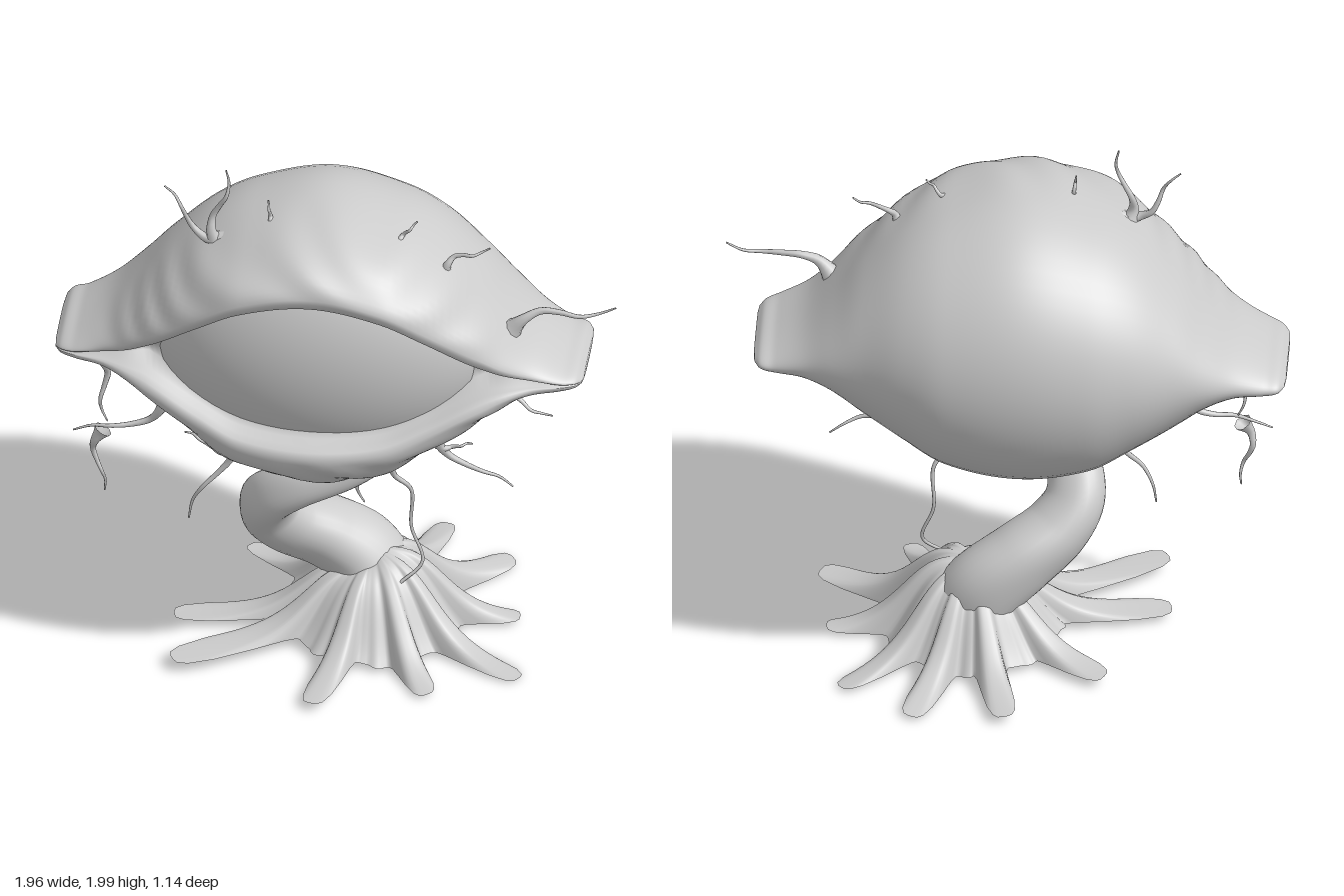
import * as THREE from 'three';

const material = new THREE.MeshStandardMaterial({ color: 0xcccccc, roughness: 0.8, side: THREE.DoubleSide });
const { clamp, lerp } = THREE.MathUtils;

// Skin a list of closed rings (arrays of Vector3) with smooth normals
function loft(name, rings) {
  const n = rings[0].length, index = [];
  for (let i = 0; i < rings.length - 1; i++) {
    for (let j = 0; j < n; j++) {
      const k = (j + 1) % n, a = i * n + j, b = a + n, c = i * n + k, d = c + n;
      index.push(a, b, c, b, d, c);
    }
  }
  const geo = new THREE.BufferGeometry().setFromPoints(rings.flat());
  geo.setIndex(index);
  geo.computeVertexNormals();
  const mesh = new THREE.Mesh(geo, material);
  mesh.name = name;
  return mesh;
}

// Tube along a smooth path; radiusAt gives the radius from start (0) to end (1)
function taperedTube(name, points, radiusAt, steps, sides, lump = 0) {
  const curve = new THREE.CatmullRomCurve3(points);
  const { normals, binormals } = curve.computeFrenetFrames(steps);
  const rings = [];
  for (let i = 0; i <= steps; i++) {
    const u = i / steps, r = radiusAt(u), ring = [];
    for (let j = 0; j < sides; j++) {
      const a = j / sides * Math.PI * 2, q = r * (1 + lump * Math.sin(3 * a + u * 9));
      ring.push(curve.getPointAt(u)
        .addScaledVector(normals[i], q * Math.cos(a))
        .addScaledVector(binormals[i], -q * Math.sin(a)));
    }
    rings.push(ring);
  }
  return loft(name, rings);
}

// Half of the eyelid profile, from the middle to the corner:
// distance, top y, bottom y, back z, upper rim y, lower rim y, lower rim z
const MIDDLE = -0.055;
const PROFILE = [
  [0, 1.85, 0.77, -0.5, 1.65, 1.05, 0.478],
  [0.25, 1.79, 0.82, -0.475, 1.6, 1.068, 0.45],
  [0.4, 1.71, 0.915, -0.42, 1.5, 1.12, 0.4],
  [0.55, 1.57, 1.02, -0.34, 1.385, 1.185, 0.345],
  [0.65, 1.45, 1.105, -0.29, 1.32, 1.217, 0.3],
  [0.75, 1.345, 1.155, -0.235, 1.273, 1.23, 0.25],
  [0.85, 1.28, 1.165, -0.195, 1.242, 1.23, 0.22],
  [0.9, 1.262, 1.18, -0.18, 1.232, 1.225, 0.195],
  [0.921, 1.242, 1.2, -0.145, 1.225, 1.221, 0.165],
];

// Smooth (cubic Hermite) lookup in the profile, mirrored at the middle
function profileAt(dist) {
  const last = PROFILE.length - 1;
  const at = k => k < 0 ? PROFILE[-k].map((v, c) => c ? v : -v) : PROFILE[Math.min(k, last)];
  let i = 0;
  while (i < last - 1 && dist > PROFILE[i + 1][0]) i++;
  const [p, a, b, q] = [at(i - 1), at(i), at(i + 1), at(i + 2)], h = b[0] - a[0];
  const t = (dist - a[0]) / h, t2 = t * t, t3 = t2 * t;
  return a.map((v, c) => {
    const m0 = (b[c] - p[c]) / (b[0] - p[0]) * h, m1 = (q[c] - v) / (q[0] - a[0]) * h;
    return (2 * t3 - 3 * t2 + 1) * v + (t3 - 2 * t2 + t) * m0 + (3 * t2 - 2 * t3) * b[c] + (t3 - t2) * m1;
  });
}

// One closed section: upper lid, back, lower lid, then the socket behind the eyeball
function lidRing(off) {
  const [dist, top, bottom, back, uy, ly, lz] = profileAt(Math.abs(off));
  const x = MIDDLE + off, tilt = 0.016 * off;
  const uz = lz - 0.04 * Math.exp(-Math.pow(dist / 0.25, 2));
  const k = clamp((uy - ly) / 0.15, 0, 1), mid = (top + bottom) / 2;
  const uc = uy + 0.03 * k, lc = ly - 0.015 * k, ring = [];
  const add = (z, y) => ring.push(new THREE.Vector3(x, y + tilt, z));
  const wrinkle = (a, y) => 0.005 * k * Math.sin(2 * a) * Math.sin(x * 13 + y * 45 + 2 * Math.sin(x * 9));
  for (let i = 0; i < 16; i++) {
    const a = i / 16 * Math.PI / 2, y = uc + (top - uc) * Math.sin(a), w = wrinkle(a, y);
    add(uz * Math.cos(a) + w, y + w);
  }
  for (let i = 0; i < 28; i++) {
    const a = i / 28 * Math.PI;
    add(back * Math.sin(a), mid + (top - mid) * Math.cos(a));
  }
  for (let i = 0; i <= 16; i++) {
    const a = i / 16 * Math.PI / 2, y = lc - (lc - bottom) * Math.cos(a), w = wrinkle(a, y);
    add(lz * Math.sin(a) + w, y - w);
  }
  add(lz - 0.012 * k, ly + 0.008 * k);
  add(lz - 0.04 * k, ly + 0.018 * k);
  add(lz - 0.07 * k, ly + 0.03 * k);
  add(lz - 0.13 * k, ly + 0.06 * k);
  add(lz - 0.13 * k, (uy + ly) / 2 + 0.01 * k);
  add(uz - 0.1 * k, uy - 0.022 * k);
  add(uz - 0.05 * k, uy - 0.012 * k);
  add(uz - 0.012 * k, uy + 0.003 * k);
  return ring;
}

function eyelids() {
  const rings = [], half = PROFILE[PROFILE.length - 1][0], steps = 52;
  // Sections crowd towards the two corners
  for (let i = -steps; i <= steps; i++) rings.push(lidRing(half * Math.sin(i / steps * Math.PI / 2)));
  // Rounded end: shrink the last section while moving it slightly outwards
  const cap = (ring, scale, out) => {
    const c = ring.reduce((sum, p) => sum.add(p), new THREE.Vector3()).divideScalar(ring.length);
    return ring.map(p => p.clone().lerp(c, 1 - scale).add(new THREE.Vector3(out, 0, 0)));
  };
  const first = rings[0], last = rings[rings.length - 1];
  return loft('eyelids', [cap(first, 0, -0.004), cap(first, 0.75, -0.004), ...rings,
    cap(last, 0.75, 0.004), cap(last, 0, 0.004)]);
}

// Root mound: a skirt whose outline reaches out to each blunt root tip
function roots() {
  const cx = 0.11, cz = -0.01, sides = 216, rows = 20, rings = [];
  const tips = [[-0.03, -0.57], [0.3, -0.56], [0.55, -0.4], [0.62, -0.06], [0.66, 0.28], [0.36, 0.43],
    [-0.03, 0.56], [-0.54, 0.38], [-0.57, 0.1], [-0.36, -0.32]]
    .map(([x, z]) => ({ a: Math.atan2(cz - z, x - cx), r: Math.hypot(x - cx, z - cz) }));
  for (let i = 0; i <= rows; i++) {
    const s = i / rows, ring = [];
    for (let j = 0; j < sides; j++) {
      const a = j / sides * Math.PI * 2;
      let reach = 0.31 + 0.012 * Math.sin(a * 17);
      for (const t of tips) {
        const d = Math.atan2(Math.sin(a - t.a), Math.cos(a - t.a));
        reach = Math.max(reach, 0.31 + (t.r - 0.31) * Math.exp(-Math.pow(Math.abs(d) / 0.13, 4)));
      }
      // Rounded shoulder, lower on the left, sinking to the ground at the rim
      const r = reach * s, height = 0.25 + 0.03 * Math.cos(a);
      const fall = 1 / (1 + Math.pow(r / 0.28, 4));
      const ground = 0.035 - 0.015 * s * Math.cos(a) + 0.01 * s * Math.sin(a * 7 + 1);
      const y = ground + height * fall * (1 - Math.pow(s, 3.5));
      ring.push(new THREE.Vector3(cx + r * Math.cos(a), y, cz - r * Math.sin(a)));
    }
    rings.push(ring);
  }
  return loft('roots', rings);
}

// Tendrils: base x, y, tip x, y and sideways bend
const TENDRILS = [
  [-0.4, 1.7, -0.6, 1.91, 0.03], [-0.42, 1.69, -0.385, 2, 0.005],
  [-0.225, 1.78, -0.237, 1.885, 0], [0.21, 1.75, 0.285, 1.845, 0],
  [0.38, 1.64, 0.54, 1.755, 0.025], [0.61, 1.41, 0.98, 1.54, 0.03],
  [0.53, 1.12, 0.76, 1.05, 0.02], [0.35, 0.97, 0.62, 0.73, -0.05],
  [0.36, 0.89, 0.48, 0.9, -0.01], [0.04, 0.82, 0.1, 0.61, 0.01],
  [-0.84, 1.18, -0.8, 0.87, 0.01], [-0.59, 1.04, -0.92, 0.82, 0.075],
  [-0.815, 0.835, -0.81, 0.57, -0.025], [-0.37, 0.91, -0.515, 0.48, 0.03],
  [-0.37, 0.79, -0.53, 0.85, 0.01],
];

// A wavy tendril, flared at the base and thin at the tip
function tendril([x0, y0, x1, y1, bend]) {
  const dx = x1 - x0, dy = y1 - y0, len = Math.hypot(dx, dy), points = [];
  for (let i = 0; i <= 6; i++) {
    const u = i / 6;
    const side = bend * Math.sin(Math.PI * u) + Math.sign(bend) * 0.07 * len * Math.sin(2 * Math.PI * u);
    points.push(new THREE.Vector3(x0 + dx * u - dy / len * side, y0 + dy * u + dx / len * side,
      0.13 + 0.008 * Math.sin(i * 2)));
  }
  const base = Math.min(0.04, 0.01 + 0.08 * len);
  return taperedTube('tendril', points, u => 0.003 + base * (0.35 * (1 - u) + 0.65 * Math.pow(1 - u, 8)), 24, 8);
}

export function createModel() {
  const model = new THREE.Group();
  model.name = 'eyePlant';
  model.add(eyelids());

  const eyeball = new THREE.Mesh(new THREE.SphereGeometry(1, 64, 40), material);
  eyeball.name = 'eyeball';
  eyeball.scale.set(0.59, 0.48, 0.325);
  eyeball.position.set(MIDDLE, 1.32, 0.1);
  model.add(eyeball);

  // Twisting stem, thicker towards the root mound
  const stemPath = [[0.2, 0.845, 0.15], [0.05, 0.785, 0.19], [-0.12, 0.72, 0.2], [-0.22, 0.63, 0.16],
    [-0.24, 0.52, 0.08], [-0.18, 0.43, 0.02], [-0.05, 0.34, -0.04], [0.07, 0.24, -0.06], [0.13, 0.12, -0.03]];
  model.add(taperedTube('stem', stemPath.map(p => new THREE.Vector3(...p)),
    u => lerp(0.03, 0.15, Math.pow(u, 0.7)), 64, 28, 0.05));
  model.add(roots());

  const tendrils = new THREE.Group();
  tendrils.name = 'tendrils';
  tendrils.add(...TENDRILS.map(tendril));
  // Long vine hanging down to the roots
  const vinePath = [[0.19, 0.86, 0.14], [0.2, 0.72, 0.1], [0.255, 0.64, 0.07], [0.255, 0.47, 0.06],
    [0.295, 0.33, 0.07], [0.22, 0.25, 0.1]];
  tendrils.add(taperedTube('vine', vinePath.map(p => new THREE.Vector3(...p)),
    u => 0.006 + 0.018 * Math.pow(1 - u, 6), 40, 8));
  model.add(tendrils);
  return model;
}
